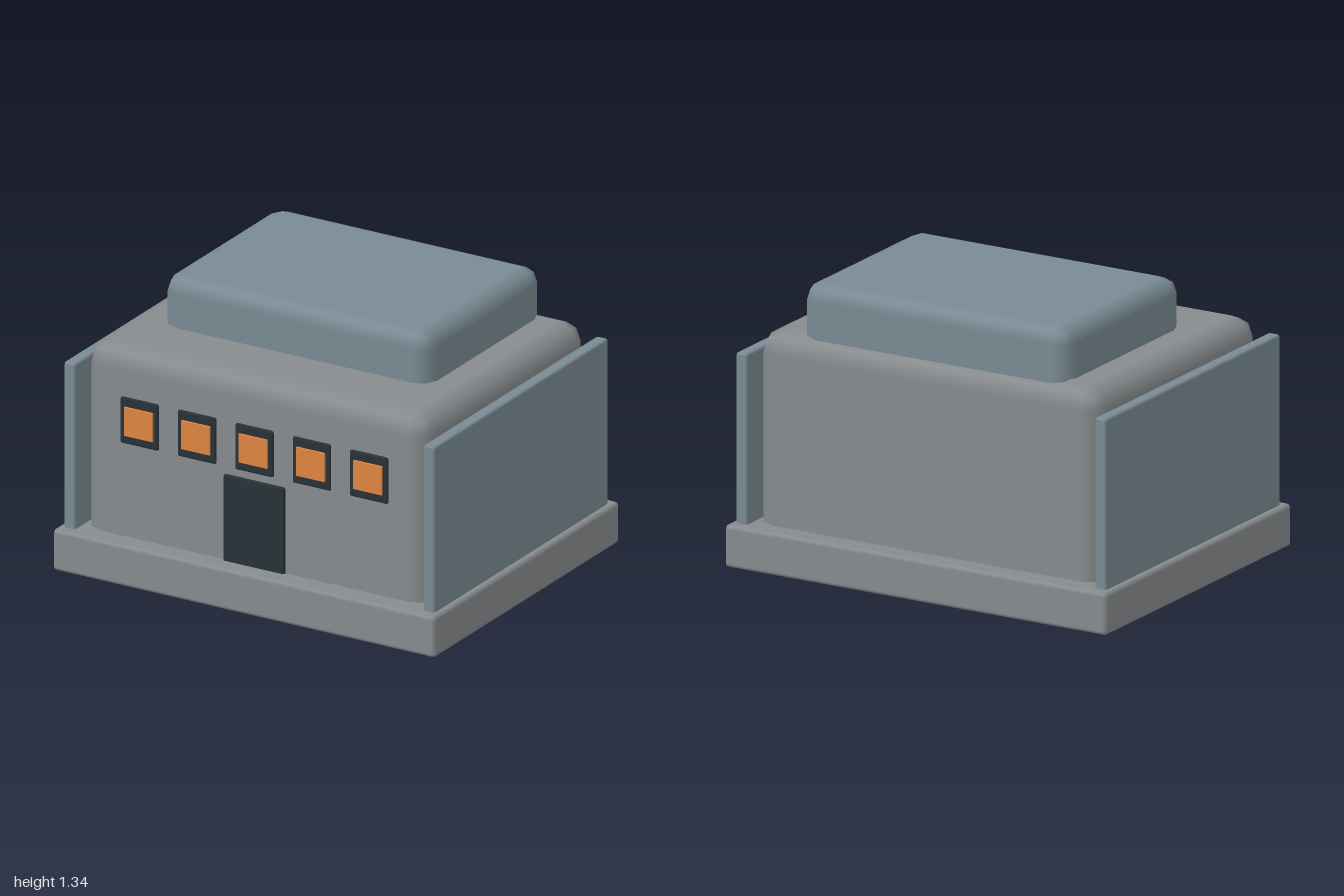
import * as THREE from 'three';
import { RoundedBoxGeometry } from 'three/addons/geometries/RoundedBoxGeometry.js';

const paint = (color) => new THREE.MeshStandardMaterial({ color });

export function createModel() {
  const model = new THREE.Group();
  const concrete = paint(0x888c8e);
  const steel = paint(0x7a8b94);
  const dark = paint(0x263238);
  const glow = paint(0xe08640);

  // Bevelled box given by its lower and upper corners
  function block(name, material, [x0, y0, z0], [x1, y1, z1], bevel) {
    const geometry = new RoundedBoxGeometry(x1 - x0, y1 - y0, z1 - z0, 1, bevel);
    const mesh = new THREE.Mesh(geometry, material);
    mesh.name = name;
    mesh.position.set((x0 + x1) / 2, (y0 + y1) / 2, (z0 + z1) / 2);
    model.add(mesh);
    return mesh;
  }

  // Foundation, main hall and raised roof; lower bevels are sunk into the part below
  block('foundation', concrete, [-1, 0, -0.8], [1, 0.2, 0.8], 0.02);
  block('mainHall', concrete, [-0.9, 0.05, -0.7], [0.9, 1.1, 0.7], 0.1);
  block('upperRoof', steel, [-0.7, 0.98, -0.64], [0.7, 1.34, 0.36], 0.08);

  // Armour plate along each side
  for (const side of [-1, 1]) {
    const plate = block('sidePlate', steel, [-0.03, 0.18, -0.75], [0.03, 1, 0.75], 0.012);
    plate.position.x = side * 0.94;
  }

  // Door
  block('door', dark, [-0.16, 0.18, 0.67], [0.16, 0.615, 0.715], 0.01);

  // Row of framed, lit windows
  for (let i = -2; i <= 2; i++) {
    const x = i * 0.3;
    block('windowFrame', dark, [x - 0.1, 0.65, 0.67], [x + 0.1, 0.875, 0.71], 0.01);
    block('windowPane', glow, [x - 0.075, 0.692, 0.69], [x + 0.075, 0.832, 0.718], 0.002);
  }

  return model;
}
